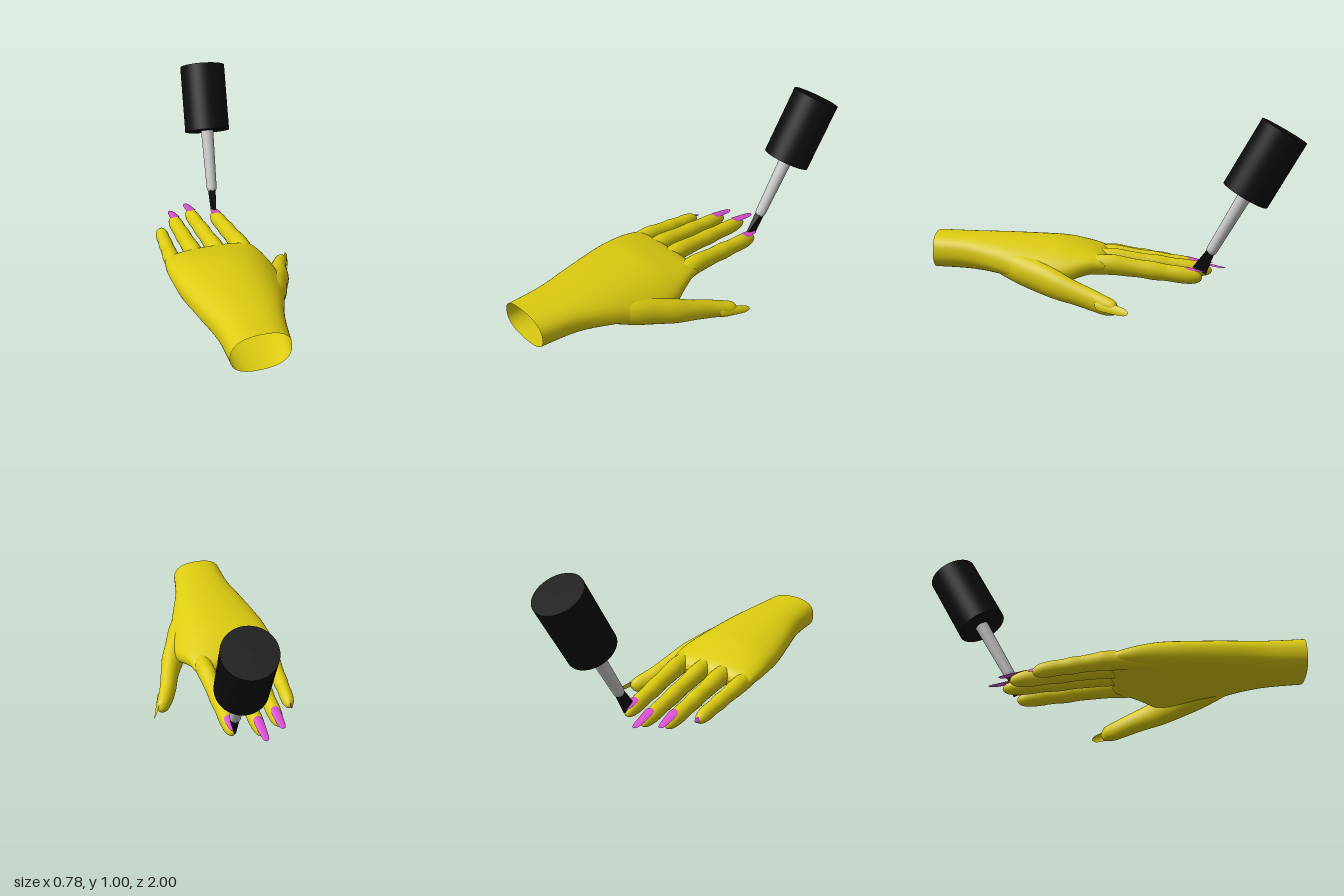
import * as THREE from 'three';

const mat = (name, color, side = THREE.FrontSide) => {
  const m = new THREE.MeshStandardMaterial({ color, side });
  m.name = name;
  return m;
};
const skin = mat('yellow skin', 0xdccb10, THREE.DoubleSide);
const polish = mat('pink polish', 0xd94fd2, THREE.DoubleSide);
const black = mat('black plastic', 0x0d0d0e);
const grey = mat('light grey stem', 0xc6c6c6);

function add(parent, name, geometry, material) {
  const mesh = new THREE.Mesh(geometry, material);
  mesh.name = name;
  parent.add(mesh);
  return mesh;
}

// Smooth interpolation of one column through four rows
function catmull(a, b, c, d, t) {
  const v0 = (c - a) / 2, v1 = (d - b) / 2;
  return (2 * b - 2 * c + v0 + v1) * t ** 3 + (-3 * b + 3 * c - 2 * v0 - v1) * t * t + v0 * t + b;
}

// Loft through rows of [z, centre x, centre y, radius x, radius y, drop of the +x side]
function loft(rows, power = 1, sides = 32, steps = 5) {
  const rings = [];
  const last = rows.length - 1;
  for (let i = 0; i < last; i++) {
    const k = [rows[Math.max(i - 1, 0)], rows[i], rows[i + 1], rows[Math.min(i + 2, last)]];
    for (let s = 0; s < steps; s++) {
      rings.push(rows[0].map((_, c) => catmull(k[0][c], k[1][c], k[2][c], k[3][c], s / steps)));
    }
  }
  rings.push(rows[last]);
  const pos = [], index = [];
  const bend = (v) => Math.sign(v) * Math.abs(v) ** power;
  rings.forEach(([z, cx, cy, rx, ry, drop = 0], i) => {
    for (let j = 0; j < sides; j++) {
      const a = (j / sides) * Math.PI * 2;
      const u = bend(Math.cos(a)), v = bend(Math.sin(a));
      pos.push(cx + u * Math.max(rx, 0), cy + v * Math.max(ry, 0) - drop * Math.max(0, u) ** 2, z);
      if (i === rings.length - 1) continue;
      const p = i * sides + j, q = i * sides + (j + 1) % sides;
      index.push(p, p + sides, q, q, p + sides, q + sides);
    }
  });
  const g = new THREE.BufferGeometry();
  g.setAttribute('position', new THREE.Float32BufferAttribute(pos, 3));
  g.setIndex(index);
  g.computeVertexNormals();
  return g;
}

// Thin arched nail from root to tip, facing along normal
function nailGeometry(root, tip, normal, halfWidth) {
  const a = new THREE.Vector3(...root), dir = new THREE.Vector3(...tip).sub(a);
  const length = dir.length();
  dir.normalize();
  const side = new THREE.Vector3(...normal).cross(dir).normalize();
  const up = dir.clone().cross(side);
  const g = new THREE.PlaneGeometry(2, 1, 8, 20);
  const p = g.attributes.position;
  for (let i = 0; i < p.count; i++) {
    const t = p.getY(i) + 0.5;
    const x = p.getX(i) * halfWidth * (1 - 0.4 * t) * Math.sqrt(Math.max(0, 1 - Math.abs(2 * t - 1) ** 5));
    p.setXYZ(i, x, -x * x * 12, t * length);
  }
  g.applyMatrix4(new THREE.Matrix4().makeBasis(side, up, dir).setPosition(a));
  g.computeVertexNormals();
  return g;
}

// Finger radius along its free length: [fraction, scale]
const fingerProfile = [
  [0, 1.1], [0.15, 1.03], [0.3, 0.96], [0.45, 1.0], [0.6, 0.9], [0.74, 0.92],
  [0.86, 0.84], [0.94, 0.64], [0.985, 0.34], [1, 0],
];

function finger(hand, { name, x0, x1, tipZ, r, y0, y1, nail }) {
  const rows = [[0.22, x0, y0, r * 0.9, r * 1.1], [0.09, x0, y0, r * 1.12, r * 1.2]];
  for (const [f, s] of fingerProfile) {
    rows.push([tipZ * f, x0 + (x1 - x0) * f, y0 + (y1 - y0) * f, r * s, r * s * 1.12]);
  }
  add(hand, name, loft(rows, 1, 24), skin);
  if (!nail) return;
  const f = nail[0] / tipZ;
  const top = y0 + (y1 - y0) * f + r * 0.86 * 1.12 + 0.004;
  add(hand, name + 'Nail', nailGeometry([x1, top, nail[0]], [x1, top - nail[2], nail[1]], [0, 1, 0], 0.03), polish);
}

export function createModel() {
  const model = new THREE.Group();
  model.name = 'handWithPolishBrush';
  const hand = new THREE.Group();
  hand.name = 'hand';
  model.add(hand);

  // Wrist and palm, open at the wrist
  add(hand, 'palm', loft([
    [1.0, -0.165, 0.256, 0.15, 0.1, 0],
    [0.8, -0.143, 0.252, 0.172, 0.1, 0],
    [0.6, -0.122, 0.245, 0.226, 0.103, 0.03],
    [0.4, -0.1, 0.235, 0.28, 0.105, 0.08],
    [0.27, -0.105, 0.232, 0.283, 0.098, 0.06],
    [0.17, -0.119, 0.225, 0.27, 0.082, 0.02],
    [0.1, -0.126, 0.218, 0.256, 0.068, 0],
    [0.06, -0.126, 0.214, 0.248, 0.054, 0],
    [0.035, -0.126, 0.212, 0.23, 0.032, 0],
    [0.025, -0.126, 0.212, 0.15, 0, 0],
  ], 0.82, 48), skin);

  // Four fingers
  [
    { name: 'indexFinger', x0: 0.064, x1: 0.063, tipZ: -0.475, r: 0.045, y0: 0.215, y1: 0.148, nail: [-0.385, -0.49, 0.025] },
    { name: 'middleFinger', x0: -0.08, x1: -0.077, tipZ: -0.535, r: 0.043, y0: 0.223, y1: 0.158, nail: [-0.445, -0.61, 0.04] },
    { name: 'ringFinger', x0: -0.204, x1: -0.19, tipZ: -0.485, r: 0.044, y0: 0.218, y1: 0.158, nail: [-0.395, -0.545, 0.038] },
    { name: 'littleFinger', x0: -0.327, x1: -0.297, tipZ: -0.36, r: 0.04, y0: 0.205, y1: 0.162 },
  ].forEach((spec) => finger(hand, spec));
  add(hand, 'littleFingerNail', nailGeometry([-0.328, 0.182, -0.31], [-0.295, 0.165, -0.382], [-0.85, 0.5, -0.2], 0.017), polish);

  // Thumb, blending out of the side of the palm
  add(hand, 'thumb', loft([
    [0.68, 0.0, 0.22, 0.03, 0.04],
    [0.6, 0.03, 0.21, 0.06, 0.07],
    [0.5, 0.075, 0.187, 0.08, 0.085],
    [0.4, 0.12, 0.16, 0.08, 0.088],
    [0.3, 0.178, 0.13, 0.07, 0.08],
    [0.2, 0.226, 0.1, 0.054, 0.065],
    [0.1, 0.264, 0.07, 0.049, 0.058],
    [0.04, 0.294, 0.053, 0.047, 0.052],
    [0, 0.314, 0.047, 0.041, 0.044],
    [-0.025, 0.324, 0.044, 0.029, 0.032],
    [-0.04, 0.328, 0.042, 0, 0],
  ]), skin);
  add(hand, 'thumbNail', nailGeometry([0.325, 0.066, 0.085], [0.39, 0.032, -0.09], [0.88, 0.4, 0.25], 0.032), skin);

  // Polish brush, built upright from the stem's lower end and then tilted
  const brush = new THREE.Group();
  brush.name = 'polishBrush';
  brush.position.set(0.068, 0.29, -0.518);
  brush.quaternion.setFromUnitVectors(new THREE.Vector3(0, 1, 0), new THREE.Vector3(0.077, 0.87, -0.49).normalize());
  model.add(brush);

  add(brush, 'cap', new THREE.CylinderGeometry(0.132, 0.132, 0.39, 48), black).position.y = 0.552;
  const stemProfile = [[0, -0.012], [0.018, -0.01], [0.027, 0], [0.03, 0.015], [0.037, 0.37]];
  add(brush, 'stem', new THREE.LatheGeometry(stemProfile.map((p) => new THREE.Vector2(...p)), 32), grey);

  // Bristles flare into a flat fan with a thin edge
  const fan = new THREE.BoxGeometry(1, 0.12, 1);
  const p = fan.attributes.position;
  for (let i = 0; i < p.count; i++) {
    const low = p.getY(i) < 0;
    p.setX(i, p.getX(i) * (low ? 0.01 : 0.036));
    p.setZ(i, p.getZ(i) * (low ? 0.08 : 0.04));
  }
  fan.computeVertexNormals();
  add(brush, 'bristles', fan, black).position.y = -0.06;

  return model;
}
